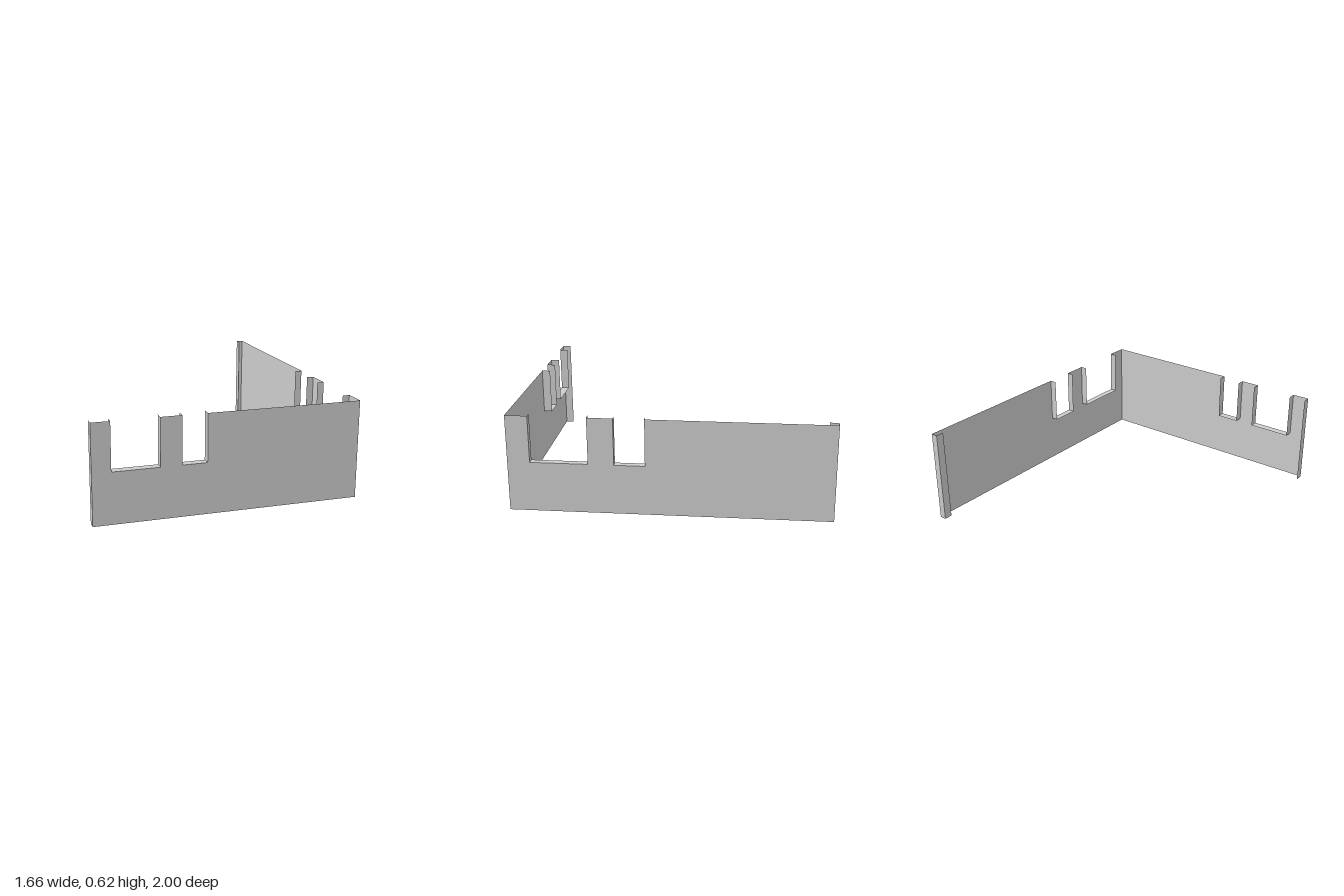
import * as THREE from 'three';

const HEIGHT = 0.62, SILL = 0.32;
const material = new THREE.MeshStandardMaterial({ color: 0xcccccc, flatShading: true, side: THREE.DoubleSide });

function addMesh(group, name, geometry) {
  const mesh = new THREE.Mesh(geometry, material);
  mesh.name = name;
  group.add(mesh);
  return mesh;
}

// Upright strip reaching inward (-z) from the outer face at position u
function addUpright(group, name, u, y0, y1, depth, facing) {
  const mesh = addMesh(group, name, new THREE.PlaneGeometry(depth, y1 - y0));
  mesh.rotation.y = facing * Math.PI / 2;
  mesh.position.set(u, (y0 + y1) / 2, -depth / 2);
}

// Thin wall along local x, outer face on z = 0, with openings cut from the top edge
function createWall(name, half, notches, depth, endSide) {
  const wall = new THREE.Group();
  wall.name = name;

  const shape = new THREE.Shape();
  shape.moveTo(-half, 0);
  shape.lineTo(half, 0);
  shape.lineTo(half, HEIGHT);
  for (const [a, b] of [...notches].reverse()) {
    shape.lineTo(b, HEIGHT);
    shape.lineTo(b, SILL);
    shape.lineTo(a, SILL);
    shape.lineTo(a, HEIGHT);
  }
  shape.lineTo(-half, HEIGHT);
  addMesh(wall, 'outerPanel', new THREE.ShapeGeometry(shape));

  // Sill and two jambs of each opening
  for (const [a, b] of notches) {
    const sill = addMesh(wall, 'windowSill', new THREE.PlaneGeometry(b - a, depth));
    sill.rotation.x = -Math.PI / 2;
    sill.position.set((a + b) / 2, SILL, -depth / 2);
    addUpright(wall, 'windowJamb', a, SILL, HEIGHT, depth, 1);
    addUpright(wall, 'windowJamb', b, SILL, HEIGHT, depth, -1);
  }

  // Return at the free end
  addUpright(wall, 'endReturn', endSide * half, 0, HEIGHT, depth, endSide);
  return wall;
}

export function createModel() {
  const model = new THREE.Group();
  model.name = 'cornerWall';

  const front = createWall('frontWall', 0.83, [[-0.715, -0.425], [-0.295, -0.14]], 0.055, -1);
  front.position.z = 1;

  const side = createWall('sideWall', 1, [[-0.86, -0.5], [-0.34, -0.15]], 0.045, 1);
  side.rotation.y = Math.PI / 2;
  side.position.x = 0.83;

  // Narrow inner lip closing the far end of the side wall
  const lip = addMesh(side, 'endLip', new THREE.PlaneGeometry(0.055, HEIGHT));
  lip.rotation.y = Math.PI;
  lip.position.set(1 - 0.0275, HEIGHT / 2, -0.045);

  model.add(front, side);
  return model;
}
